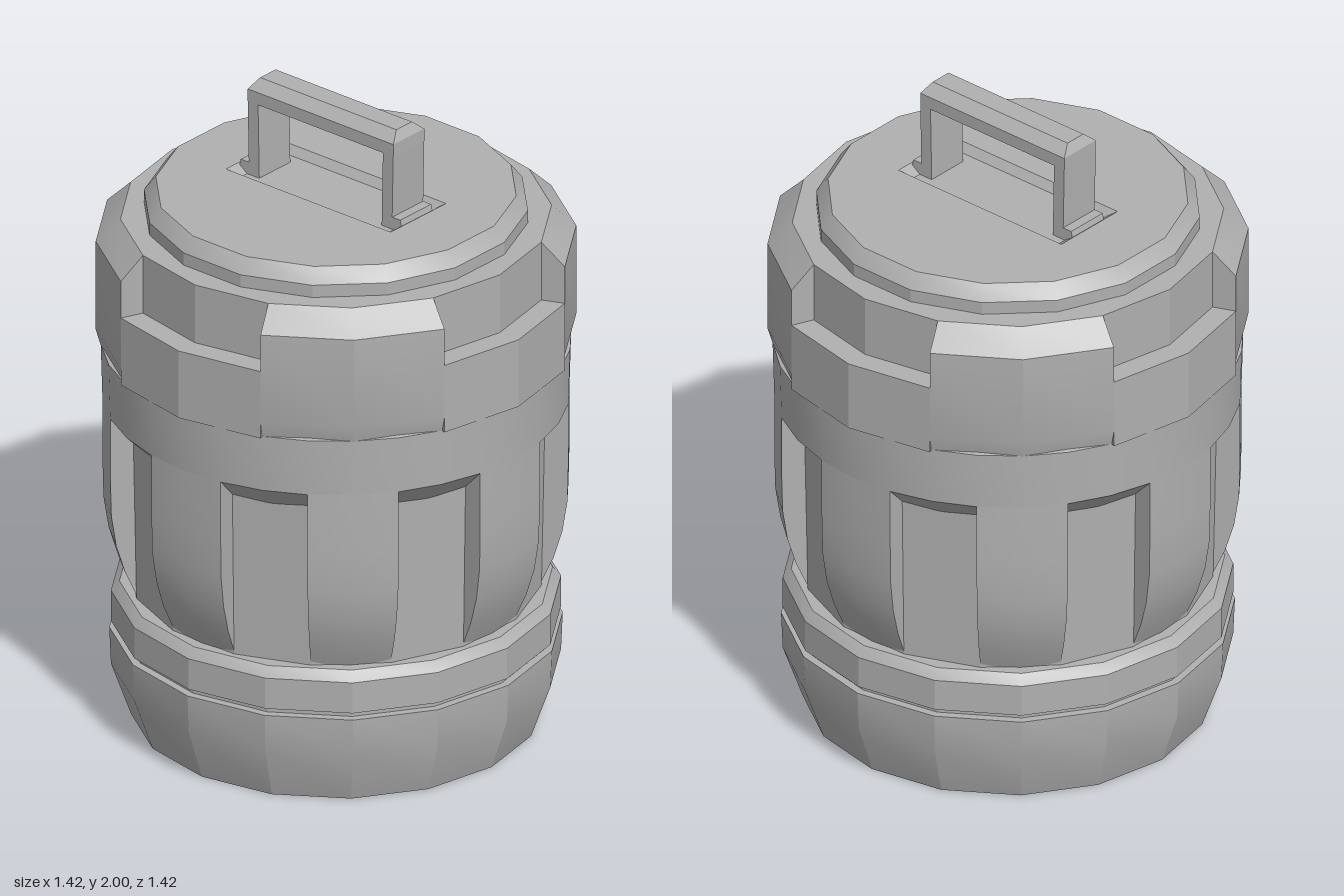
import * as THREE from 'three';
import { toCreasedNormals, mergeGeometries } from 'three/addons/utils/BufferGeometryUtils.js';

const STEP = Math.PI / 8; // one side of the 16-sided body

export function createModel() {
  const model = new THREE.Group();
  model.name = 'canister';
  const grey = new THREE.MeshStandardMaterial({ color: 0xb0b0b0, side: THREE.DoubleSide });
  grey.name = 'shell grey';

  const add = (name, geometry, x = 0, y = 0, z = 0) => {
    const mesh = new THREE.Mesh(toCreasedNormals(geometry, 0.35), grey);
    mesh.name = name;
    mesh.position.set(x, y, z);
    model.add(mesh);
    return mesh;
  };

  const points = (profile) => profile.map(([r, y]) => new THREE.Vector2(r, y));

  // Full turned ring; profile runs from bottom to top
  const turned = (profile, sides = 16, start = 0) =>
    new THREE.LatheGeometry(points(profile), sides, start, Math.PI * 2);

  // Part of a turned ring with both ends closed
  const sector = (profile, from, to, sides) => {
    const shell = new THREE.LatheGeometry(points([...profile, profile[0]]), sides, from, to - from);
    const caps = [from, to].map((angle, i) => {
      const cap = new THREE.ShapeGeometry(new THREE.Shape(points(profile)));
      cap.rotateY(angle - Math.PI / 2);
      if (i) cap.index.array.reverse();
      return cap;
    });
    return mergeGeometries([shell, ...caps].map((g) => g.toNonIndexed()));
  };

  // Box whose bottom and top have different sizes, standing on its origin
  const frustum = (w0, d0, w1, d1, h) => {
    const g = new THREE.BoxGeometry(1, h, 1).translate(0, h / 2, 0);
    const p = g.attributes.position;
    for (let i = 0; i < p.count; i++) {
      const top = p.getY(i) > h / 2;
      p.setX(i, p.getX(i) * (top ? w1 : w0));
      p.setZ(i, p.getZ(i) * (top ? d1 : d0));
    }
    return g;
  };

  // Base with a thin groove below its rim
  add('base', turned([
    [0, 0], [0.605, 0], [0.665, 0.17], [0.67, 0.29], [0.645, 0.29], [0.645, 0.31],
    [0.665, 0.31], [0.665, 0.41], [0.64, 0.44], [0.58, 0.44],
  ]));

  // Slot floors, and the collar whose underside slopes into the slots
  add('slotFloor', turned([[0.61, 0.44], [0.62, 0.98]], 16, STEP / 2));
  add('bodyCollar', turned([[0.61, 0.96], [0.69, 1.04], [0.695, 1.22], [0.637, 1.24]], 32));

  // Eight rounded ribs between the slots
  const rib = [
    [0.57, 0.44], [0.605, 0.44], [0.645, 0.53], [0.672, 0.62], [0.687, 0.72],
    [0.69, 0.85], [0.69, 1.04], [0.57, 1.04],
  ];
  for (let i = 0; i < 8; i++) {
    const mid = i * STEP * 2;
    add('rib', sector(rib, mid - STEP / 2, mid + STEP / 2, 2));
  }

  // Cap: a core with low blocks on the axes and tall bevelled blocks between them
  add('capCore', turned([[0.637, 1.22], [0.637, 1.63], [0.5, 1.63]]));
  const lowBlock = [[0.6, 1.22], [0.71, 1.22], [0.71, 1.44], [0.6, 1.44]];
  const tallBlock = [
    [0.6, 1.2], [0.69, 1.2], [0.71, 1.27], [0.71, 1.56], [0.637, 1.63], [0.6, 1.63],
  ];
  for (let i = 0; i < 4; i++) {
    const mid = i * STEP * 4;
    add('lowCapBlock', sector(lowBlock, mid - STEP, mid + STEP, 2));
    add('tallCapBlock', sector(tallBlock, mid + STEP, mid + STEP * 3, 2));
  }

  // Lid edge, and lid top with an opening for the handle tray
  add('lidEdge', turned([[0.57, 1.62], [0.57, 1.67], [0.535, 1.715]], 16, STEP / 2));
  const lid = new THREE.Shape();
  for (let i = 0; i < 16; i++) {
    const a = (i + 0.5) * STEP;
    lid[i ? 'lineTo' : 'moveTo'](0.535 * Math.cos(a), 0.535 * Math.sin(a));
  }
  lid.holes.push(new THREE.Path(points([[-0.125, -0.32], [-0.125, 0.32], [0.125, 0.32], [0.125, -0.32]])));
  add('lidTop', new THREE.ShapeGeometry(lid).rotateX(-Math.PI / 2), 0, 1.715);

  // Shallow tray, open at the top and seen from inside
  const tray = frustum(0.21, 0.57, 0.25, 0.64, 0.025);
  const faces = Array.from(tray.index.array);
  faces.splice(12, 6);
  for (let i = 0; i < faces.length; i += 3) [faces[i], faces[i + 1]] = [faces[i + 1], faces[i]];
  tray.setIndex(faces);
  add('handleTray', tray, 0, 1.69);

  // Handle: chamfered grip, two slightly splayed posts and their feet
  add('gripBar', frustum(0.14, 0.566, 0.14, 0.566, 0.04), 0, 1.93);
  add('gripChamfer', frustum(0.14, 0.566, 0.07, 0.53, 0.03), 0, 1.97);
  for (const side of [-1, 1]) {
    const post = add('handlePost', frustum(0.14, 0.04, 0.14, 0.04, 0.25), 0, 1.69, side * 0.258);
    post.rotation.x = side * 0.02;
    add('handleFoot', frustum(0.14, 0.06, 0.14, 0.04, 0.04), 0, 1.69, side * 0.29);
  }

  return model;
}
